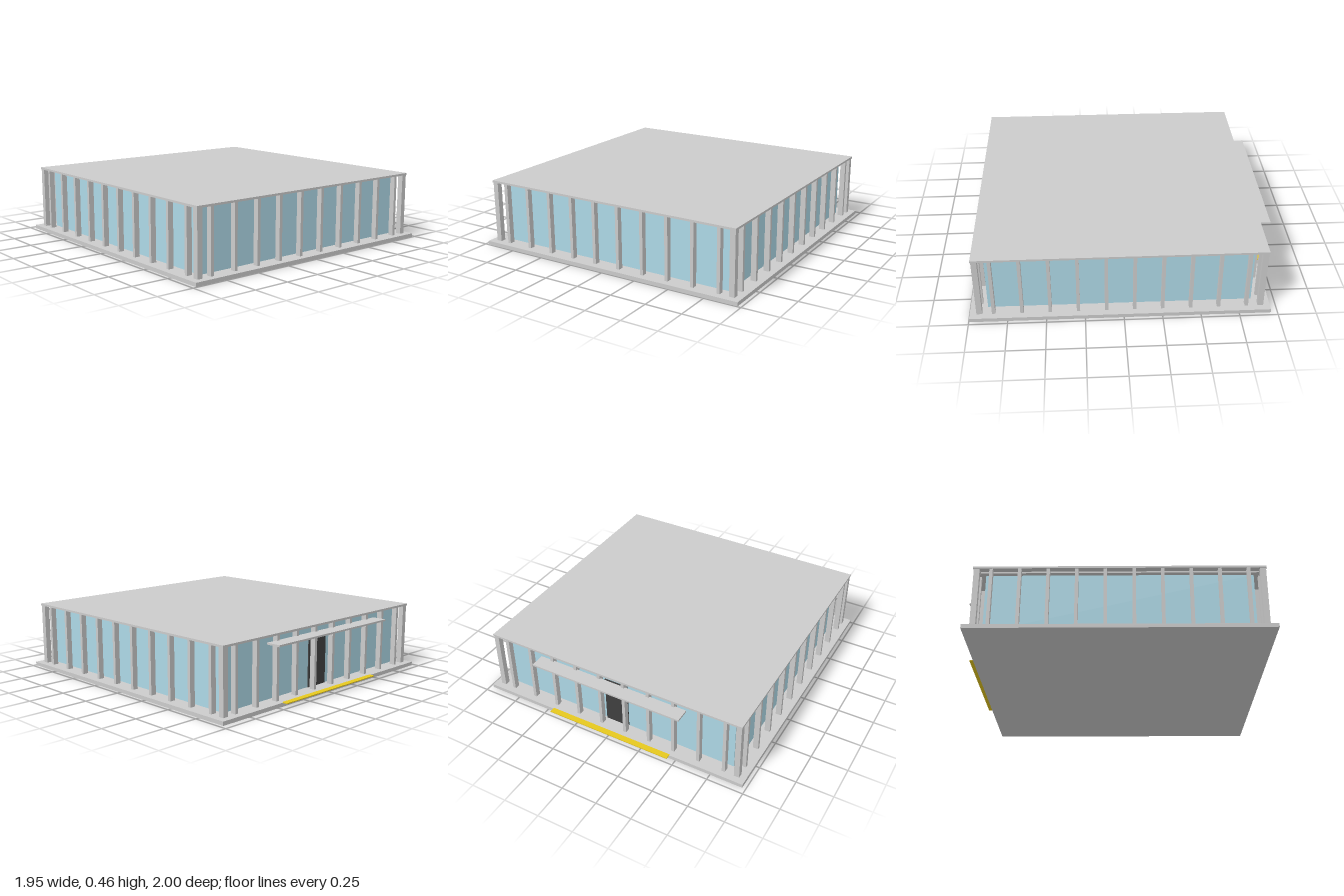
import * as THREE from 'three';

const CZ = 0.02; // centre of the square plan along z

const grey = new THREE.MeshStandardMaterial({ color: 0xcccccc });
const glass = new THREE.MeshStandardMaterial({ color: 0xadd8e6 });
const dark = new THREE.MeshStandardMaterial({ color: 0x404040 });
const yellow = new THREE.MeshStandardMaterial({ color: 0xe6c81e });

// Box given by its extents on each axis
function block(name, [x0, x1], [y0, y1], [z0, z1], material = grey) {
  const mesh = new THREE.Mesh(new THREE.BoxGeometry(x1 - x0, y1 - y0, z1 - z0), material);
  mesh.position.set((x0 + x1) / 2, (y0 + y1) / 2, (z0 + z1) / 2);
  mesh.name = name;
  return mesh;
}

// Square slab centred on the plan
function slab(name, half, y, material) {
  return block(name, [-half, half], y, [CZ - half, CZ + half], material);
}

export function createModel() {
  const model = new THREE.Group();
  model.name = 'pavilion';

  // Floor, glazed hall and roof
  model.add(
    slab('floorSlab', 0.976, [0, 0.026]),
    slab('glassHall', 0.862, [0.026, 0.436], glass),
    slab('ceiling', 0.893, [0.436, 0.447]),
    slab('roof', 0.936, [0.447, 0.461]),
  );

  // Four identical rows of slender columns, each with one corner column
  const outer = 0.932, depth = 0.037, width = 0.022, count = 10, pitch = 0.1825;
  const height = [0.026, 0.447];
  for (let side = 0; side < 4; side++) {
    const row = new THREE.Group();
    row.name = 'columnRow';
    for (let i = 0; i < count; i++) {
      const x = (i - (count - 1) / 2) * pitch;
      row.add(block('column', [x - width / 2, x + width / 2], height, [outer - depth, outer]));
    }
    row.add(block('cornerColumn', [outer - depth, outer], height, [outer - depth, outer]));
    row.rotation.y = (side * Math.PI) / 2;
    row.position.z = CZ;
    model.add(row);
  }

  // Rear entrance: door, canopy and threshold strip
  model.add(
    block('door', [-0.085, 0.085], [0.026, 0.365], [-0.85, -0.838], dark),
    block('canopy', [-0.547, 0.547], [0.4, 0.412], [-1, -0.9]),
    block('thresholdStrip', [-0.455, 0.455], [0.023, 0.029], [-0.99, -0.95], yellow),
  );

  return model;
}
